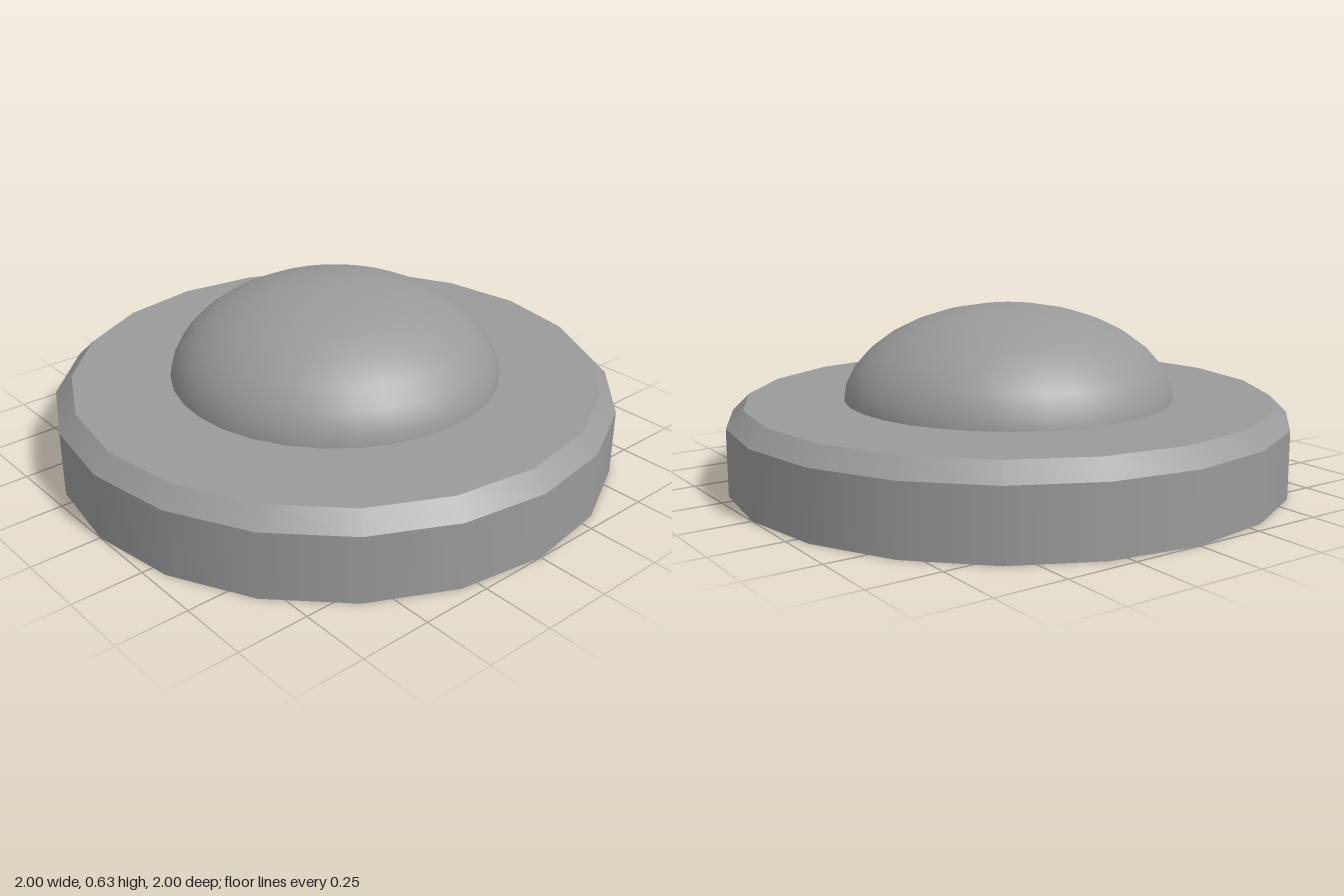
import * as THREE from 'three';

const material = new THREE.MeshStandardMaterial({ color: 0x9a9a9a, side: THREE.DoubleSide });

// One conical band per profile segment, so the rims stay crisp and the sides smooth
function band(name, [r0, y0], [r1, y1], sides = 20) {
  const points = [new THREE.Vector2(r0, y0), new THREE.Vector2(r1, y1)];
  const geometry = new THREE.LatheGeometry(points, sides);
  geometry.normalizeNormals();
  const mesh = new THREE.Mesh(geometry, material);
  mesh.name = name;
  return mesh;
}

export function createModel() {
  const group = new THREE.Group();
  group.name = 'domedButton';

  // Thin open-bottomed base: wall, chamfer and top plate with a round hole
  const base = new THREE.Group();
  base.name = 'base';
  base.add(
    band('wall', [1, 0], [1, 0.237]),
    band('chamfer', [1, 0.237], [0.94, 0.297]),
    band('topPlate', [0.94, 0.297], [0.525, 0.297])
  );
  group.add(base);

  // Flattened hollow dome, its rim reaching just below the plate
  const dome = new THREE.Mesh(
    new THREE.SphereGeometry(0.594, 32, 8, 0, Math.PI * 2, 0, Math.PI / 2),
    material
  );
  dome.name = 'dome';
  dome.scale.y = 0.356 / 0.594;
  dome.position.y = 0.27;
  group.add(dome);

  return group;
}
